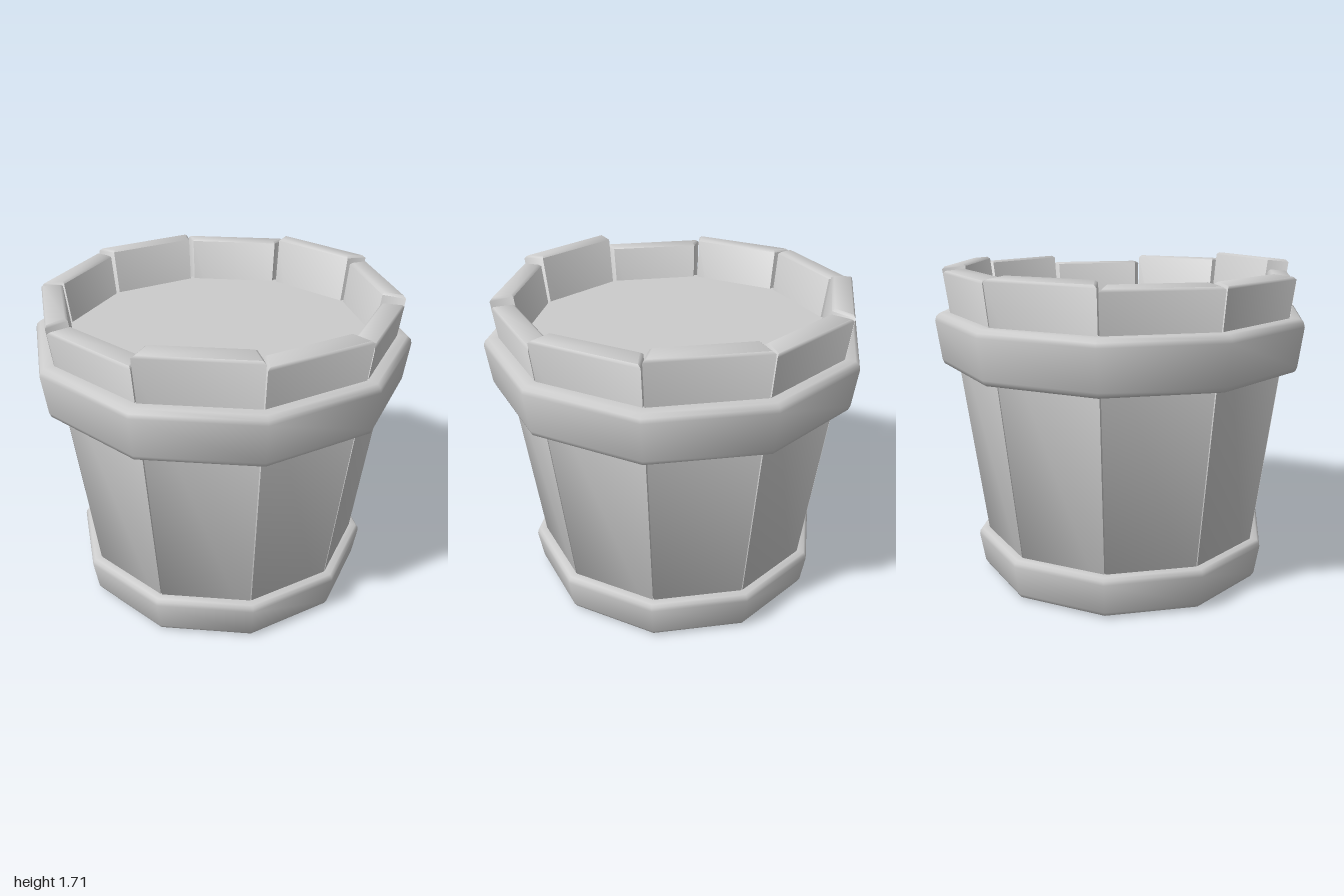
import * as THREE from 'three';
import { toCreasedNormals } from 'three/addons/utils/BufferGeometryUtils.js';

const SIDES = 10;
const STEP = (2 * Math.PI) / SIDES;
const TAN = Math.tan(STEP / 2);
const THICK = 0.11;
const LEAN = 0.122;
// distance from the axis to the outer face of a stave at height y
const wallRadius = (y) => 0.7 + LEAN * y;

const material = new THREE.MeshStandardMaterial({ color: 0xcccccc });

function addMesh(parent, name, geometry) {
  const mesh = new THREE.Mesh(geometry, material);
  mesh.name = name;
  parent.add(mesh);
  return mesh;
}

// extrude a plan outline upwards from y = 0, with bevelled edges
function extrudeUp(points, height, bevel) {
  const shape = new THREE.Shape(points.map(([x, y]) => new THREE.Vector2(x, y)));
  const geometry = new THREE.ExtrudeGeometry(shape, {
    depth: height - 2 * bevel,
    bevelEnabled: true,
    bevelSegments: 1,
    bevelSize: bevel,
    bevelThickness: bevel,
    bevelOffset: -bevel,
  });
  return geometry.translate(0, 0, bevel).rotateX(-Math.PI / 2);
}

// wedge-shaped board that widens and leans outward with height
function staveGeometry(height) {
  const r = wallRadius(0);
  const outer = r * TAN - 0.003;
  const inner = (r - THICK) * TAN - 0.003;
  const geometry = extrudeUp([[-outer, 0], [outer, 0], [inner, THICK], [-inner, THICK]], height, 0.012);
  const p = geometry.attributes.position;
  for (let i = 0; i < p.count; i++) {
    const x = p.getX(i), y = p.getY(i), z = p.getZ(i);
    p.setXYZ(i, (x * wallRadius(y)) / r, y - z * LEAN, z + wallRadius(y));
  }
  return toCreasedNormals(geometry, 0.95);
}

// ten-sided hoop turned from a closed profile of [corner radius, height]
function hoopGeometry(profile) {
  const points = [...profile, profile[0]].map(([r, y]) => new THREE.Vector2(r, y));
  return toCreasedNormals(new THREE.LatheGeometry(points, SIDES), 1.0);
}

// half length of the ten-sided floor at a given x
function floorReach(x, radius) {
  const phi = Math.asin(Math.min(1, Math.abs(x) / radius));
  for (let k = Math.max(0, Math.floor(phi / STEP) - 1); k < 3; k++) {
    const x0 = radius * Math.sin(k * STEP), x1 = radius * Math.sin((k + 1) * STEP);
    if (Math.abs(x) <= x1 + 1e-6 && x1 > x0) {
      const t = (Math.abs(x) - x0) / (x1 - x0);
      return radius * ((1 - t) * Math.cos(k * STEP) + t * Math.cos((k + 1) * STEP));
    }
  }
  return 0;
}

export function createModel() {
  const bucket = new THREE.Group();
  bucket.name = 'woodenBucket';

  // wall of staves with uneven tops
  const tops = [1.675, 1.64, 1.68, 1.705, 1.685, 1.695, 1.675, 1.675, 1.65, 1.71];
  const staves = new THREE.Group();
  staves.name = 'staves';
  bucket.add(staves);
  tops.forEach((top, i) => {
    addMesh(staves, 'stave', staveGeometry(top - THICK * LEAN)).rotation.y = (i + 0.5) * STEP;
  });

  // hoops
  addMesh(bucket, 'upperHoop', hoopGeometry([
    [0.88, 1.18], [0.95, 1.18], [0.963, 1.187], [0.973, 1.21],
    [1.0, 1.415], [0.994, 1.437], [0.975, 1.455], [0.91, 1.455],
  ]));
  addMesh(bucket, 'lowerHoop', hoopGeometry([
    [0.73, 0.01], [0.762, 0.01], [0.78, 0.017], [0.794, 0.04],
    [0.821, 0.2], [0.817, 0.22], [0.805, 0.235], [0.755, 0.235],
  ]));

  // flat surface of the contents
  const surface = addMesh(bucket, 'contentsSurface', new THREE.CircleGeometry(0.83, SIDES, Math.PI / 2));
  surface.rotation.x = -Math.PI / 2;
  surface.position.y = 1.45;

  // floor planks running front to back, trimmed to the wall
  const floor = new THREE.Group();
  floor.name = 'floor';
  bucket.add(floor);
  const R = 0.66;
  const edges = [-0.62, -0.3, 0, 0.3, 0.62];
  const corners = [-2, -1, 1, 2].map((k) => R * Math.sin(k * STEP));
  for (let i = 0; i < 4; i++) {
    const a = edges[i] + 0.003, b = edges[i + 1] - 0.003;
    const xs = [a, ...corners.filter((x) => x > a + 0.01 && x < b - 0.01), b];
    const front = xs.map((x) => [x, -floorReach(x, R)]);
    const back = xs.map((x) => [x, floorReach(x, R)]).reverse();
    const plank = extrudeUp([...front, ...back], 0.06, 0.006);
    addMesh(floor, 'floorPlank', toCreasedNormals(plank, 0.5)).position.y = 0.08;
  }

  return bucket;
}
